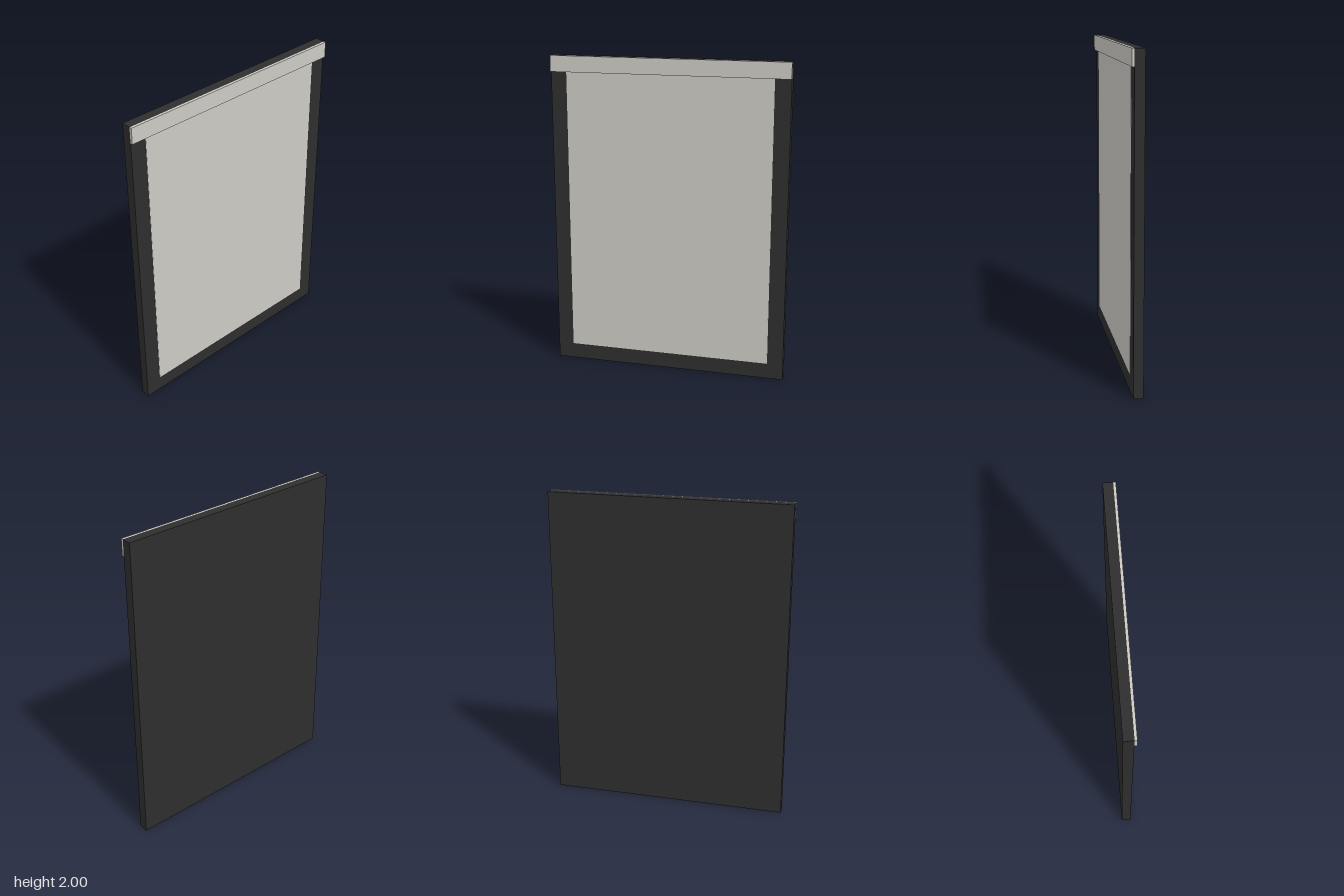
import * as THREE from 'three';

export function createModel() {
  const group = new THREE.Group();
  const darkFrame = new THREE.MeshStandardMaterial({ name: 'dark frame', color: 0x2e2e2e });
  const paleGrey = new THREE.MeshStandardMaterial({ name: 'pale grey', color: 0xcccac3 });

  // Box placed by its base height and back face
  function addBox(name, w, h, d, y, z, material) {
    const mesh = new THREE.Mesh(new THREE.BoxGeometry(w, h, d), material);
    mesh.name = name;
    mesh.position.set(0, y + h / 2, z + d / 2);
    group.add(mesh);
  }

  const back = -0.0375;
  const front = 0.0225;

  // Solid slab whose border forms the frame
  addBox('frame', 1.5, 2, front - back, 0, back, darkFrame);
  // Thin pale screen on the front
  addBox('panel', 1.3, 1.8, 0.002, 0.1, front, paleGrey);
  // Raised bar across the top edge
  addBox('topBar', 1.5, 0.1, 0.015, 1.9, front, paleGrey);

  return group;
}
